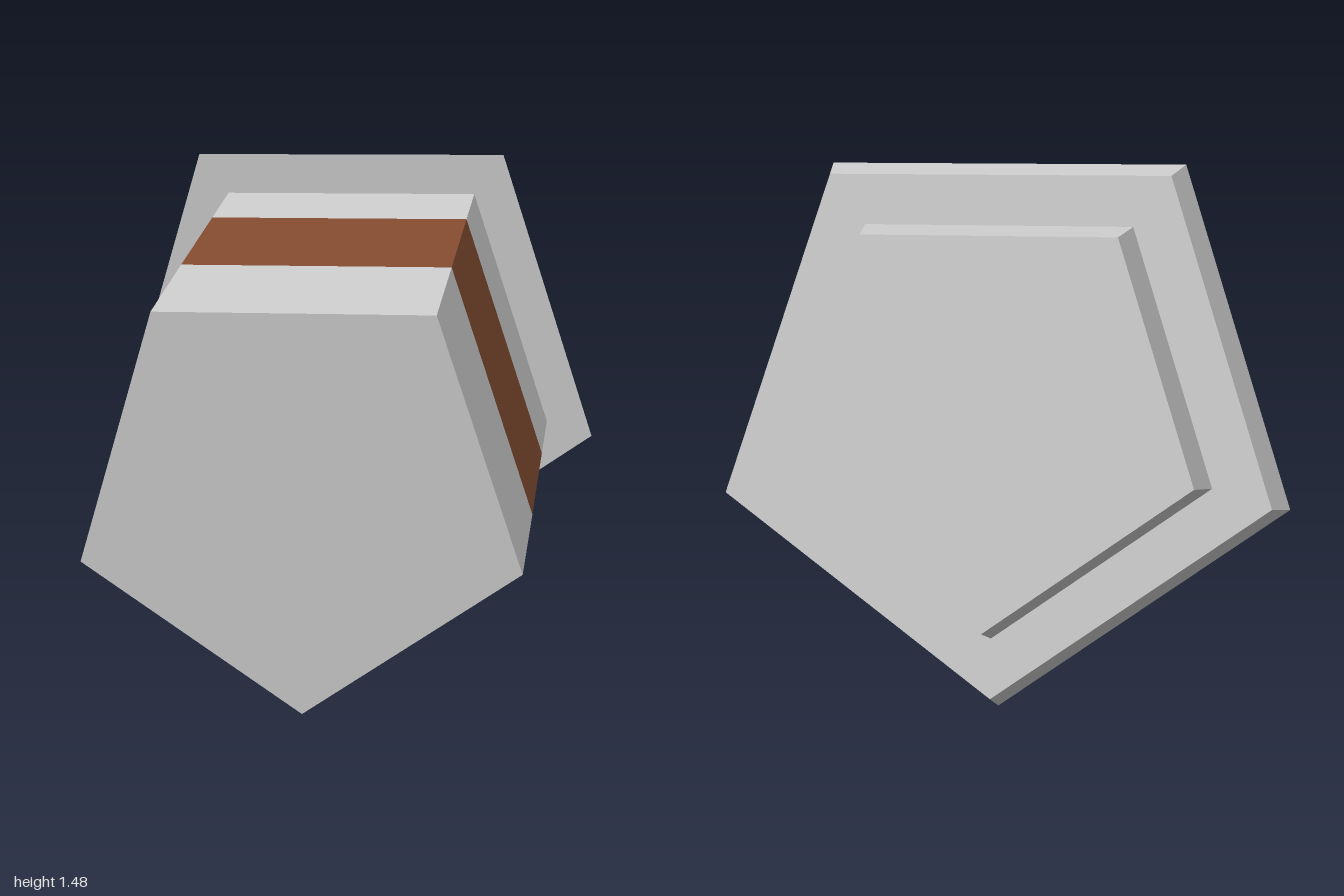
import * as THREE from 'three';

const grey = new THREE.MeshStandardMaterial({ color: 0xcccccc, flatShading: true });
const brown = new THREE.MeshStandardMaterial({ color: 0x824b30, flatShading: true });

// Five-sided frustum running along +z from z0 to z1, one corner pointing down
function section(name, z0, z1, r0, r1, material, open = false) {
  const geometry = new THREE.CylinderGeometry(r1, r0, z1 - z0, 5, 1, open);
  geometry.rotateX(Math.PI / 2);
  geometry.translate(0, 0, (z0 + z1) / 2);
  const mesh = new THREE.Mesh(geometry, material);
  mesh.name = name;
  return mesh;
}

export function createModel() {
  const model = new THREE.Group();
  model.name = 'taperedPlug';

  // Tilted axis: starts at the centre of the front face and runs back, right and up
  const plug = new THREE.Group();
  plug.name = 'plug';
  plug.position.set(-0.492, 0.647, 0.702);
  plug.lookAt(plug.position.clone().add(new THREE.Vector3(0.545, 0.13, -0.828)));

  plug.add(
    // Slightly flaring body with a coloured band around its middle
    section('bodyFront', 0, 0.447, 0.604, 0.627, grey),
    section('bodyBand', 0.447, 1.0, 0.627, 0.654, brown, true),
    section('bodyRear', 1.0, 1.34, 0.654, 0.671, grey, true),
    // Wide bevelled collar and the smaller end cap behind it
    section('collar', 1.34, 1.503, 0.825, 0.771, grey),
    section('endCap', 1.503, 1.679, 0.607, 0.563, grey)
  );

  model.add(plug);
  return model;
}
